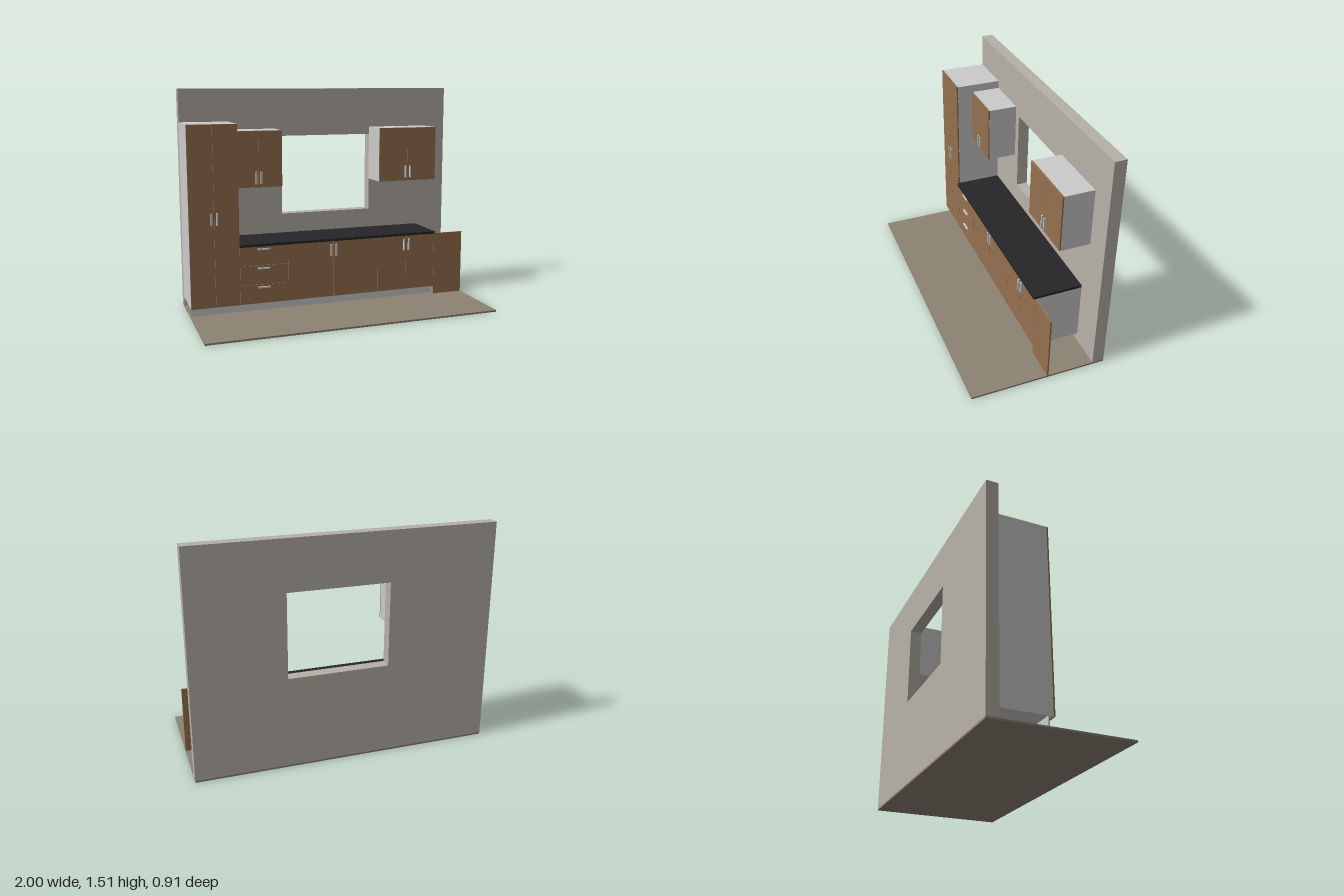
import * as THREE from 'three';

const mat = (color) => new THREE.MeshStandardMaterial({ color });

export function createModel() {
  const root = new THREE.Group();
  const grey = mat(0xcccccc), wood = mat(0x96714f), wallMat = mat(0xb7b1a8);
  const floorMat = mat(0x8d8373), black = mat(0x262628);

  const WALL = -0.378;   // front face of the wall
  const FLOOR = 0.012;   // top of the floor
  const DOOR = 0.01, GAP = 0.0015;

  // Box given by its extents on each axis
  function box(name, material, [x0, x1], [y0, y1], [z0, z1], parent = root) {
    const mesh = new THREE.Mesh(new THREE.BoxGeometry(x1 - x0, y1 - y0, z1 - z0), material);
    mesh.position.set((x0 + x1) / 2, (y0 + y1) / 2, (z0 + z1) / 2);
    mesh.name = name;
    parent.add(mesh);
    return mesh;
  }

  // Carcass with its back against the wall
  function cabinet(name, x, y, front) {
    const group = new THREE.Group();
    group.name = name;
    root.add(group);
    box('carcass', grey, x, y, [WALL, front], group);
    return group;
  }

  // Wooden front panel with a narrow reveal around it
  function panel(name, group, [x0, x1], [y0, y1], front) {
    box(name, wood, [x0 + GAP / 2, x1 - GAP / 2], [y0 + GAP / 2, y1 - GAP / 2], [front, front + DOOR], group);
  }

  // Bar handle, upright or lying
  function handle(group, x, y, front, lying = false) {
    const w = lying ? 0.0425 : 0.005, h = lying ? 0.005 : 0.0425;
    box('handle', grey, [x - w, x + w], [y - h, y + h], [front + DOOR, front + DOOR + 0.012], group);
  }

  // Pair of doors with handles beside the middle seam
  function doorPair(group, [x0, x1], y, front, handleY) {
    const mid = (x0 + x1) / 2;
    panel('door', group, [x0, mid], y, front);
    panel('door', group, [mid, x1], y, front);
    for (const side of [-1, 1]) handle(group, mid + side * 0.018, handleY, front);
  }

  // Floor slab
  box('floor', floorMat, [-1, 1], [0, FLOOR], [-0.457, 0.457]);

  // Wall with window opening
  const outline = new THREE.Shape([[-1, FLOOR], [1, FLOOR], [1, 1.515], [-1, 1.515]].map((p) => new THREE.Vector2(...p)));
  outline.holes.push(new THREE.Path(
    [[-0.284, 0.622], [-0.284, 1.182], [0.387, 1.182], [0.387, 0.622]].map((p) => new THREE.Vector2(...p))));
  const wall = new THREE.Mesh(
    new THREE.ExtrudeGeometry(outline, { depth: 0.457 + WALL, bevelEnabled: false }), wallMat);
  wall.position.z = -0.457;
  wall.name = 'wall';
  root.add(wall);

  // Tall cabinet
  const front = -0.064;
  const tall = cabinet('tallCabinet', [-1, -0.668], [0.07, 1.29], front);
  doorPair(tall, [-1, -0.668], [0.07, 1.29], front, 0.668);

  // Base cabinets: drawers, then two door units
  const baseY = [0.07, 0.467];
  const drawers = cabinet('drawerCabinet', [-0.668, -0.334], baseY, front);
  const step = (baseY[1] - baseY[0]) / 3;
  for (let i = 0; i < 3; i++) {
    const y0 = baseY[0] + i * step;
    panel('drawerFront', drawers, [-0.668, -0.334], [y0, y0 + step], front);
    handle(drawers, -0.503, y0 + step - 0.02, front, true);
  }
  for (const x of [[-0.334, 0.328], [0.328, 0.775]]) {
    const base = cabinet('baseCabinet', x, baseY, front);
    doorPair(base, x, baseY, front, 0.402);
  }

  // Plinth, worktop and the free-standing end panel
  box('plinth', grey, [-1, 0.775], [FLOOR, 0.07], [-0.098, -0.09]);
  box('worktop', black, [-0.668, 0.775], [0.467, 0.484], [WALL, -0.043]);
  box('endPanel', wood, [0.776, 1], [FLOOR, 0.467], [front, front + DOOR]);

  // Wall cabinets either side of the window
  const upperFront = -0.18;
  for (const x of [[-0.668, -0.336], [0.387, 0.83]]) {
    const upper = cabinet('wallCabinet', x, [0.85, 1.235], upperFront);
    doorPair(upper, x, [0.85, 1.235], upperFront, 0.916);
  }

  return root;
}
